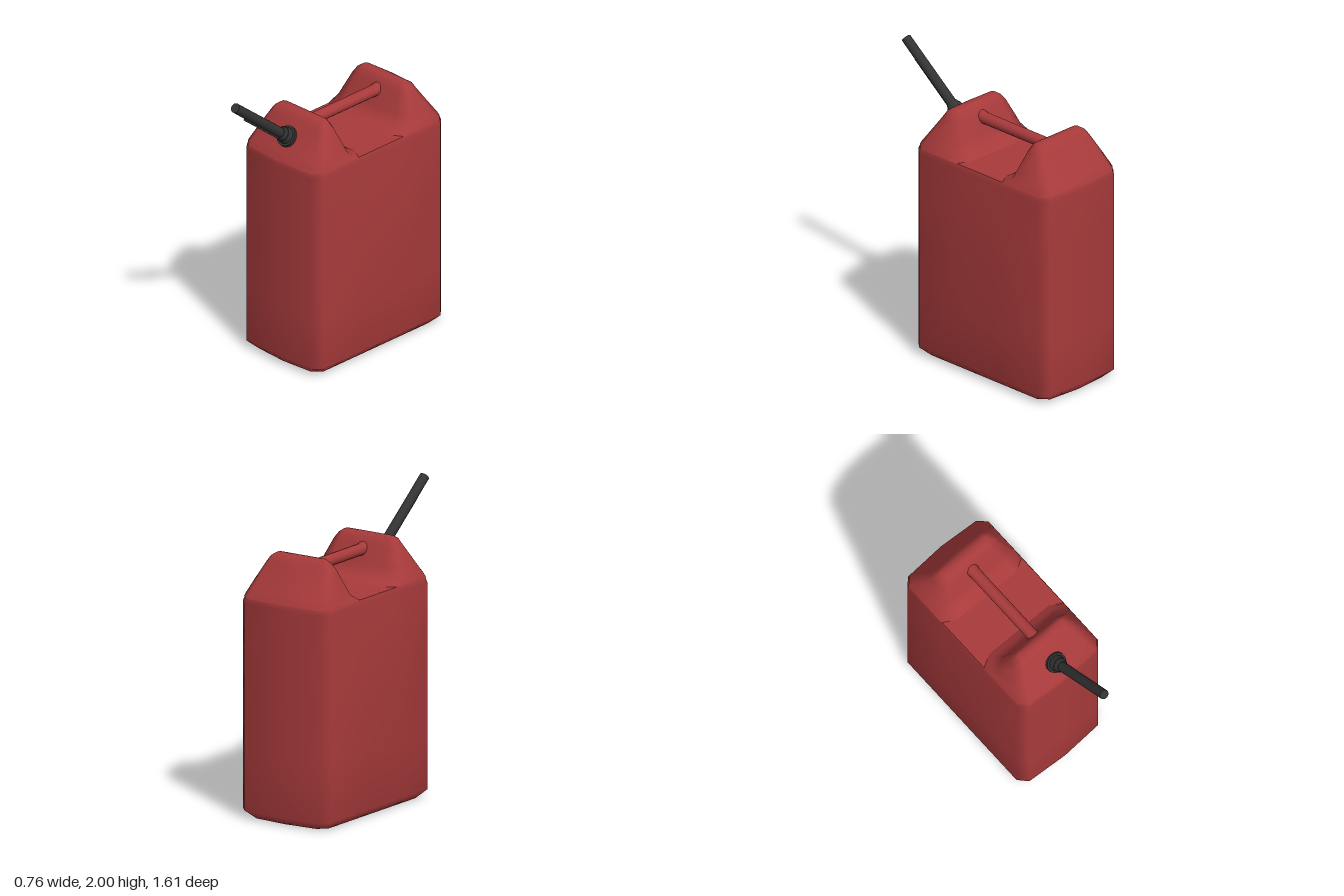
import * as THREE from 'three';

const MID_Z = -0.2; // centre of the can body along z

// Complete a half outline (front centre round +x to back centre) by mirroring it
function mirrorRing(half, y) {
  const left = half.slice(1, -1).reverse().map(([x, z]) => [-x, z]);
  return [...half, ...left].map(([x, z]) => [x, y, z]);
}

// Skin a stack of rings, optionally closing the ends
function loft(rings, { bottom = false, top = false } = {}) {
  const n = rings[0].length, pos = rings.flat(2), index = [];
  for (let r = 0; r < rings.length - 1; r++) {
    for (let i = 0; i < n; i++) {
      const j = (i + 1) % n, a = r * n + i, b = r * n + j;
      index.push(a, b, b + n, a, b + n, a + n);
    }
  }
  const cap = (ring, base, up) => {
    const z = ring.reduce((s, p) => s + p[2], 0) / n;
    const c = pos.length / 3;
    pos.push(0, ring[0][1], z);
    for (let i = 0; i < n; i++) {
      const j = (i + 1) % n;
      index.push(c, base + (up ? i : j), base + (up ? j : i));
    }
  };
  if (bottom) cap(rings[0], 0, false);
  if (top) cap(rings[rings.length - 1], (rings.length - 1) * n, true);
  const g = new THREE.BufferGeometry();
  g.setAttribute('position', new THREE.Float32BufferAttribute(pos, 3));
  g.setIndex(index);
  g.computeVertexNormals();
  return g;
}

// Body outline: chamfered corners, bowed ends, sides bulging by a given amount
function bodyRing(y, bulge, inset) {
  const half = [[0, 0.607], [0.29, 0.59], [0.345, 0.53], [0.345 + bulge, 0.18]];
  const front = half.map(([x, z]) => [Math.max(0, x - inset * (x > 0 ? 1 : 0)), z - inset]);
  front[3][1] = 0.18;
  const back = front.map(([x, z]) => [x, -z]).reverse();
  return mirrorRing([...front, ...back], y);
}

// Hump outline: half width w, outer end zo, inner end zi, corner cut c
function humpRing([y, w, zo, zi, c]) {
  return mirrorRing([
    [0, zo], [w - c, zo - c * 0.3], [w, zo - c * 1.3],
    [w, zi + c * 0.9], [w - c * 1.6, zi], [0, zi],
  ], y);
}

export function createModel() {
  const model = new THREE.Group();
  const red = new THREE.MeshStandardMaterial({ color: 0xa83a3b });
  red.name = 'red plastic';
  const black = new THREE.MeshStandardMaterial({ color: 0x333333 });
  black.name = 'black plastic';

  const add = (parent, name, geometry, material) => {
    const mesh = new THREE.Mesh(geometry, material);
    mesh.name = name;
    parent.add(mesh);
    return mesh;
  };

  // Main can body
  const bodyRings = [
    [0, 0, 0.055], [0.055, 0, 0], [0.42, 0.021, 0], [0.8, 0.035, 0],
    [1.1, 0.022, 0], [1.42, 0.001, 0], [1.453, 0, 0.009],
  ].map(r => bodyRing(...r));
  const body = add(model, 'canBody', loft(bodyRings, { bottom: true }), red);
  body.position.z = MID_Z;

  // Flat floor of the hand opening
  const floor = add(model, 'handOpeningFloor', loft([bodyRings[6]], { top: true }), red);
  floor.position.z = MID_Z;

  // Two mirrored shoulder humps
  const humpRings = [
    [1.45, 0.338, 0.4, -0.05, 0.055],
    [1.475, 0.33, 0.388, -0.01, 0.055],
    [1.5, 0.32, 0.372, 0.03, 0.055],
    [1.55, 0.3, 0.337, 0.053, 0.05],
    [1.67, 0.245, 0.255, 0.103, 0.035],
    [1.71, 0.217, 0.232, 0.127, 0.025],
    [1.73, 0.188, 0.2, 0.147, 0.012],
  ].map(humpRing);
  const humpGeometry = loft(humpRings, { top: true });
  add(model, 'frontHump', humpGeometry, red);
  const backHump = add(model, 'backHump', humpGeometry, red);
  backHump.rotation.y = Math.PI;
  backHump.position.z = 2 * MID_Z;

  // Carry handle, flared where it meets the humps
  const handleProfile = [[0.05, -0.35], [0.047, -0.31], [0.039, -0.27],
    [0.039, 0.27], [0.047, 0.31], [0.05, 0.35]].map(p => new THREE.Vector2(...p));
  const handle = add(model, 'carryHandle', new THREE.LatheGeometry(handleProfile, 14), red);
  handle.rotation.x = Math.PI / 2;
  handle.position.set(0, 1.637, MID_Z);

  // Tilted spout, built along its own y axis
  const spout = new THREE.Group();
  spout.name = 'spout';
  spout.position.set(0, 1.585, 0.3);
  spout.rotation.x = Math.atan2(0.783, 0.622);
  model.add(spout);
  const drum = (name, rTop, rBottom, from, to) => {
    const g = new THREE.CylinderGeometry(rTop, rBottom, to - from, 16);
    add(spout, name, g, black).position.y = (from + to) / 2;
  };
  drum('spoutFlange', 0.07, 0.07, -0.04, 0.03);
  drum('spoutCollar', 0.05, 0.055, 0.03, 0.075);
  drum('spoutNeck', 0.036, 0.046, 0.075, 0.1);
  drum('spoutTube', 0.032, 0.033, 0.1, 0.62);

  // Stiffening rib under the tube
  const rib = add(spout, 'spoutRib', new THREE.BoxGeometry(0.016, 0.4, 0.03), black);
  rib.position.set(0, 0.28, 0.028);

  return model;
}
